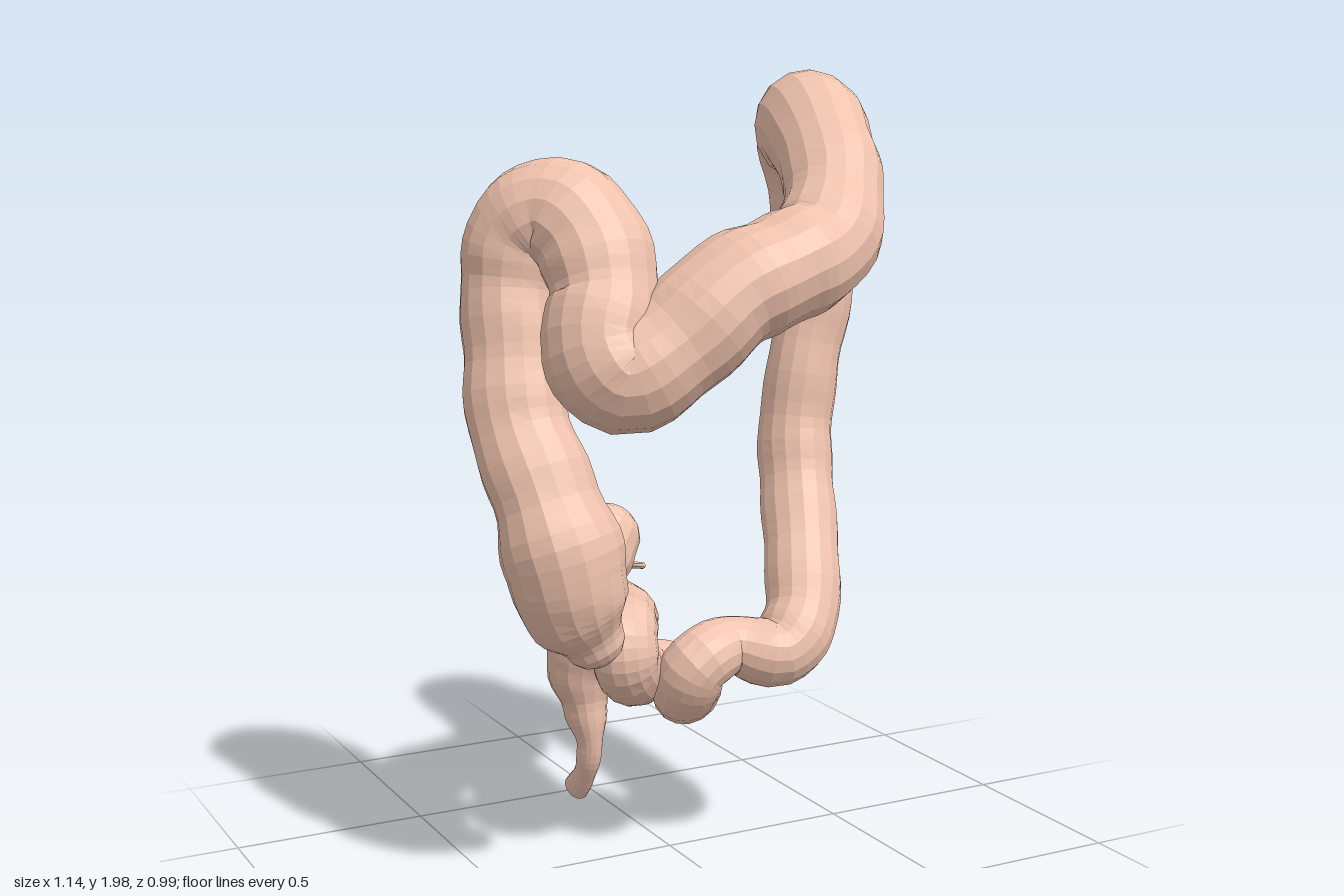
import * as THREE from 'three';

const material = new THREE.MeshStandardMaterial({ color: 0xefc2ad, flatShading: true, side: THREE.DoubleSide });

// Rings along a smooth path of [x, y, z, radius, depth] stations, with a frame carried along it.
// The optional depth widens (or flattens) the section in z.
function makeRings(stations, steps, sides, bump) {
  const curve = new THREE.CatmullRomCurve3(stations.map(s => new THREE.Vector3(s[0], s[1], s[2])));
  const count = (stations.length - 1) * steps;
  const rings = [];
  const normal = new THREE.Vector3(0.3, 0.2, 1);
  for (let i = 0; i <= count; i++) {
    const t = i / count;
    const center = curve.getPoint(t);
    const tangent = curve.getTangent(t);
    normal.addScaledVector(tangent, -normal.dot(tangent)).normalize();
    const side = new THREE.Vector3().crossVectors(tangent, normal);
    const k = Math.min(Math.floor(i / steps), stations.length - 2);
    const f = THREE.MathUtils.smoothstep(i / steps - k, 0, 1);
    const [, , , r0, d0 = 1] = stations[k];
    const [, , , r1, d1 = 1] = stations[k + 1];
    const radius = THREE.MathUtils.lerp(r0, r1, f);
    const depth = THREE.MathUtils.lerp(d0, d1, f);
    const ring = [];
    for (let j = 0; j < sides; j++) {
      const a = j / sides * Math.PI * 2;
      // gentle uneven swelling of the wall
      const r = radius * (1 + bump * (Math.sin(i * 1.25 + Math.sin(a) * 0.8) + 0.7 * Math.sin(a * 3 + i * 0.35)));
      const offset = normal.clone().multiplyScalar(Math.cos(a) * r).addScaledVector(side, Math.sin(a) * r);
      offset.z *= depth;
      ring.push(offset.add(center));
    }
    rings.push({ ring, center, tangent, radius });
  }
  return rings;
}

// Rounded end: shrinking copies of an end ring pushed outward.
function domeRings(end, sign) {
  return [0.35, 0.7, 0.92, 1].map(h => {
    const scale = Math.sqrt(1 - h * h);
    const offset = end.tangent.clone().multiplyScalar(sign * h * end.radius * 0.85);
    return { ring: end.ring.map(p => p.clone().sub(end.center).multiplyScalar(scale).add(end.center).add(offset)) };
  });
}

function skin(name, rings) {
  const sides = rings[0].ring.length;
  const pos = [], index = [];
  rings.forEach(({ ring }) => ring.forEach(p => pos.push(p.x, p.y, p.z)));
  for (let i = 0; i < rings.length - 1; i++) {
    for (let j = 0; j < sides; j++) {
      const a = i * sides + j, b = i * sides + (j + 1) % sides;
      index.push(a, b, a + sides, b, b + sides, a + sides);
    }
  }
  const geometry = new THREE.BufferGeometry();
  geometry.setAttribute('position', new THREE.Float32BufferAttribute(pos, 3));
  geometry.setIndex(index);
  geometry.computeVertexNormals();
  const mesh = new THREE.Mesh(geometry, material);
  mesh.name = name;
  return mesh;
}

// Consecutive stretches of the large bowel, each continuing from the last.
const sections = {
  cecum: [
    [-0.325, 0.665, 0.235, 0.075], [-0.365, 0.745, 0.23, 0.128], [-0.395, 0.87, 0.225, 0.147]],
  ascendingColon: [
    [-0.425, 1.02, 0.175, 0.125], [-0.45, 1.18, 0.09, 0.12], [-0.44, 1.34, 0.04, 0.115], [-0.425, 1.50, 0.0, 0.12]],
  rightFlexure: [
    [-0.40, 1.61, 0.01, 0.13], [-0.335, 1.655, 0.07, 0.135], [-0.285, 1.59, 0.145, 0.135],
    [-0.28, 1.47, 0.21, 0.13], [-0.315, 1.36, 0.25, 0.135]],
  transverseColon: [
    [-0.27, 1.295, 0.275, 0.135, 1.08], [-0.14, 1.37, 0.31, 0.132, 1.12], [-0.01, 1.48, 0.33, 0.133, 1.15],
    [0.12, 1.53, 0.33, 0.13, 1.18], [0.24, 1.58, 0.31, 0.128, 1.1], [0.32, 1.69, 0.24, 0.12]],
  leftFlexure: [
    [0.355, 1.79, 0.14, 0.125], [0.385, 1.855, 0.02, 0.138], [0.42, 1.83, -0.06, 0.125]],
  descendingColon: [
    [0.445, 1.66, -0.08, 0.1], [0.472, 1.46, -0.08, 0.098], [0.43, 1.26, -0.07, 0.093], [0.40, 1.07, -0.06, 0.097],
    [0.38, 0.92, -0.01, 0.097], [0.34, 0.76, 0.08, 0.097], [0.29, 0.62, 0.155, 0.095], [0.21, 0.555, 0.18, 0.09]],
  sigmoidColon: [
    [0.10, 0.575, 0.14, 0.075], [0.0, 0.545, 0.15, 0.083], [-0.01, 0.465, 0.10, 0.085], [0.06, 0.45, 0.0, 0.078],
    [0.045, 0.46, -0.07, 0.078], [-0.04, 0.475, -0.06, 0.08], [-0.11, 0.50, 0.02, 0.083],
    [-0.175, 0.555, 0.10, 0.083], [-0.175, 0.62, 0.09, 0.085], [-0.125, 0.63, 0.0, 0.083]],
  rectum: [
    [-0.085, 0.615, -0.12, 0.092], [-0.08, 0.59, -0.25, 0.098], [-0.06, 0.52, -0.35, 0.105],
    [-0.065, 0.40, -0.395, 0.098], [-0.06, 0.29, -0.385, 0.06, 1.15], [-0.055, 0.19, -0.367, 0.034, 1.25],
    [-0.055, 0.10, -0.40, 0.028, 1.4], [-0.055, 0.035, -0.46, 0.03, 1.8]],
};

export function createModel() {
  const group = new THREE.Group();
  group.name = 'largeIntestine';

  // Main bowel: one continuous tube cut into named stretches
  const steps = 5;
  const names = Object.keys(sections);
  const rings = makeRings(names.flatMap(n => sections[n]), steps, 16, 0.022);
  let start = 0;
  names.forEach((name, n) => {
    const end = Math.min(start + sections[name].length * steps, rings.length - 1);
    let part = rings.slice(start, end + 1);
    if (n === 0) part = [...domeRings(rings[0], -1).reverse(), ...part];
    group.add(skin(name, part));
    start = end;
  });

  // Short blind stub of small bowel beside the cecum
  const stub = makeRings([
    [-0.36, 0.79, 0.18, 0.085], [-0.285, 0.845, 0.15, 0.095], [-0.24, 0.895, 0.135, 0.085]], 4, 14, 0.02);
  group.add(skin('smallBowelStub', [...stub, ...domeRings(stub[stub.length - 1], 1)]));

  // Thin curling appendix
  const appendix = makeRings([
    [-0.34, 0.72, 0.16, 0.012], [-0.28, 0.725, 0.01, 0.011], [-0.20, 0.74, -0.03, 0.01],
    [-0.14, 0.77, -0.03, 0.01], [-0.085, 0.775, 0.015, 0.009]], 5, 8, 0.01);
  group.add(skin('appendix', [...appendix, ...domeRings(appendix[appendix.length - 1], 1)]));

  return group;
}
